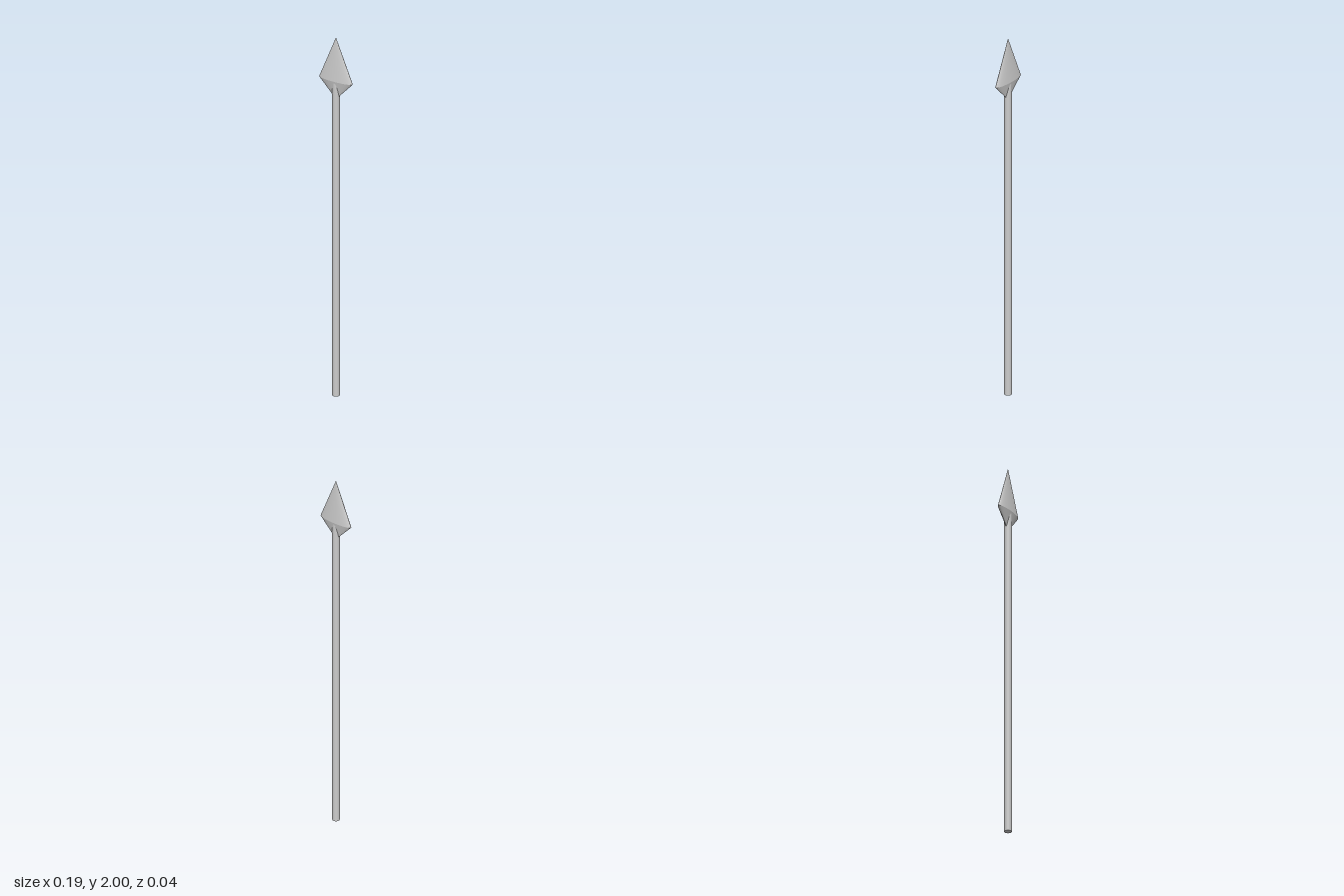
import * as THREE from 'three';

export function createModel() {
  const model = new THREE.Group();
  const material = new THREE.MeshStandardMaterial({ color: 0xcccccc });

  // Adds a round part running from y0 to y1
  function addRound(parent, name, rBottom, rTop, y0, y1, sides, open) {
    const geometry = new THREE.CylinderGeometry(rTop, rBottom, y1 - y0, sides, 1, open);
    geometry.translate(0, (y0 + y1) / 2, 0);
    const mesh = new THREE.Mesh(geometry, material);
    mesh.name = name;
    parent.add(mesh);
  }

  // Long straight shaft, ending inside the head
  addRound(model, 'shaft', 0.019, 0.019, 0, 1.755, 32, false);

  // Flattened double cone; separate halves keep the widest edge sharp
  const head = new THREE.Group();
  head.name = 'spearhead';
  head.scale.set(0.097, 1, 0.021);
  addRound(head, 'headBase', 0, 1, 1.655, 1.76, 64, true);
  addRound(head, 'headPoint', 1, 0, 1.76, 2, 64, true);
  model.add(head);

  return model;
}
